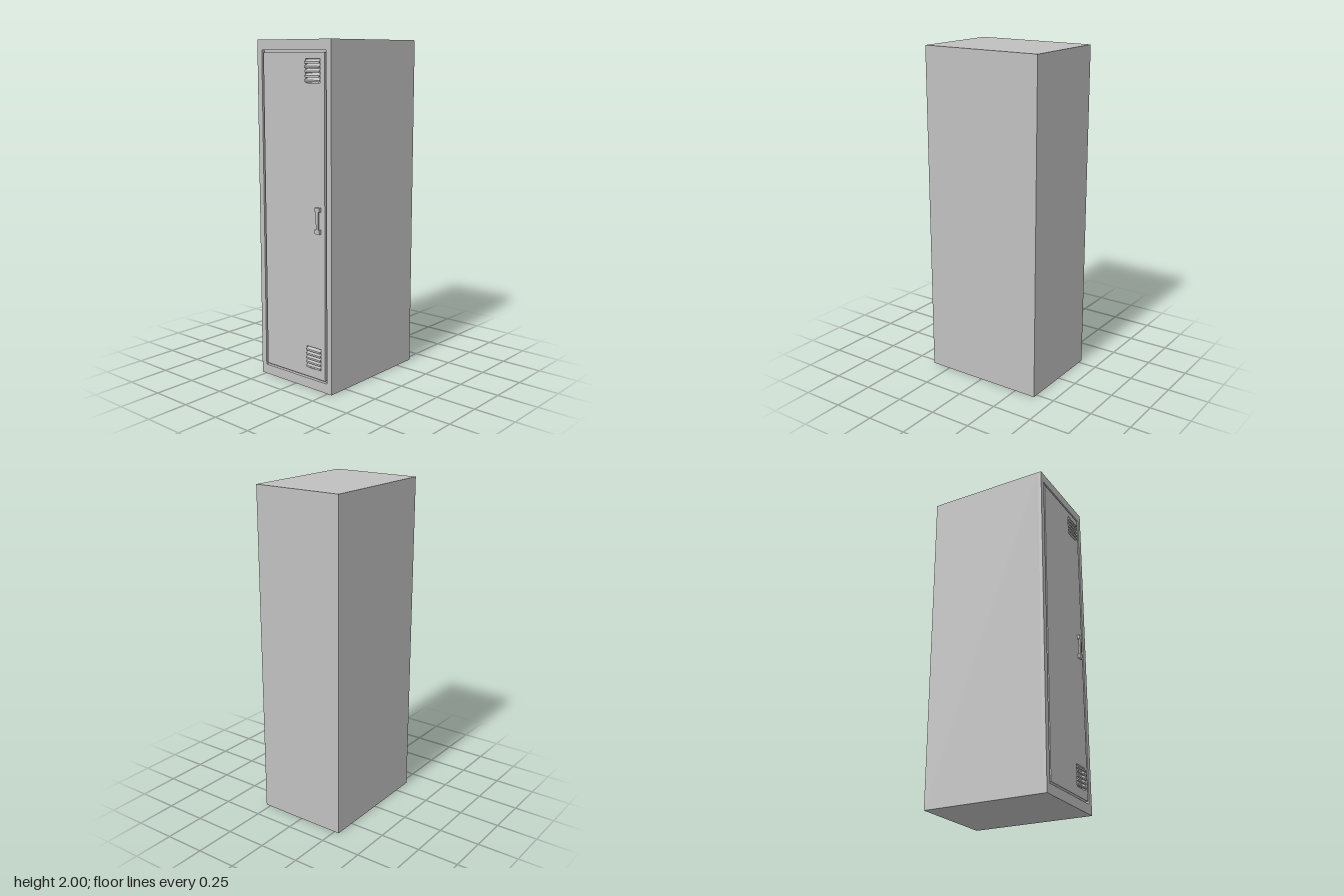
import * as THREE from 'three';

const FACE = -0.372;   // outer plane of the door side
const DEPTH = 0.02;    // thickness of the frame and the door sheet
const BACK = FACE + DEPTH;

export function createModel() {
  const model = new THREE.Group();
  model.name = 'locker';
  const steel = new THREE.MeshStandardMaterial({ color: 0xc0c0c0 });
  steel.name = 'grey steel';

  function add(geometry, name, parent = model) {
    const mesh = new THREE.Mesh(geometry, steel);
    mesh.name = name;
    parent.add(mesh);
    return mesh;
  }

  // Box given by its limits on each axis
  function box(name, x0, x1, y0, y1, z0, z1, parent) {
    const mesh = add(new THREE.BoxGeometry(x1 - x0, y1 - y0, z1 - z0), name, parent);
    mesh.position.set((x0 + x1) / 2, (y0 + y1) / 2, (z0 + z1) / 2);
    return mesh;
  }

  // Rectangle in the (z, y) plane
  function rect(Type, z0, z1, y0, y1) {
    return new Type([[z0, y0], [z1, y0], [z1, y1], [z0, y1]].map(p => new THREE.Vector2(...p)));
  }

  // Sheet facing -x with rectangular openings
  function sheet(name, outline, holes) {
    const shape = rect(THREE.Shape, ...outline);
    shape.holes = holes.map(h => rect(THREE.Path, ...h));
    const geometry = new THREE.ExtrudeGeometry(shape, { depth: DEPTH, bevelEnabled: false });
    geometry.rotateY(-Math.PI / 2);
    geometry.translate(BACK, 0, 0);
    return add(geometry, name);
  }

  // Cabinet, door frame and door with a narrow groove between them
  box('cabinet', BACK, 0.384, 0, 2, -0.28, 0.28);
  sheet('doorFrame', [-0.28, 0.28, 0, 2], [[-0.245, 0.245, 0.058, 1.942]]);
  const vents = [0.125, 1.765];
  sheet('door', [-0.232, 0.232, 0.071, 1.929], vents.map(y => [0.093, 0.2, y, y + 0.13]));

  // Sloping slats in both vents
  for (const base of vents) {
    const vent = new THREE.Group();
    vent.name = base < 1 ? 'lowerVent' : 'upperVent';
    model.add(vent);
    for (let i = 0; i < 5; i++) {
      const y = base + 0.01 + i * 0.025;
      const profile = new THREE.Shape([
        [BACK, y + 0.008], [BACK, y + 0.018], [-0.381, y + 0.005], [-0.381, y - 0.005],
      ].map(p => new THREE.Vector2(...p)));
      const slat = new THREE.ExtrudeGeometry(profile, { depth: 0.107, bevelEnabled: false });
      slat.translate(0, 0, 0.093);
      add(slat, 'slat', vent);
    }
  }

  // Handle: two mounts and an upright grip
  const handle = new THREE.Group();
  handle.name = 'handle';
  model.add(handle);
  for (const y of [0.93, 1.055]) box('handleMount', -0.386, FACE, y, y + 0.025, 0.168, 0.203, handle);
  box('handleGrip', -0.386, -0.376, 0.955, 1.055, 0.177, 0.194, handle);

  return model;
}
